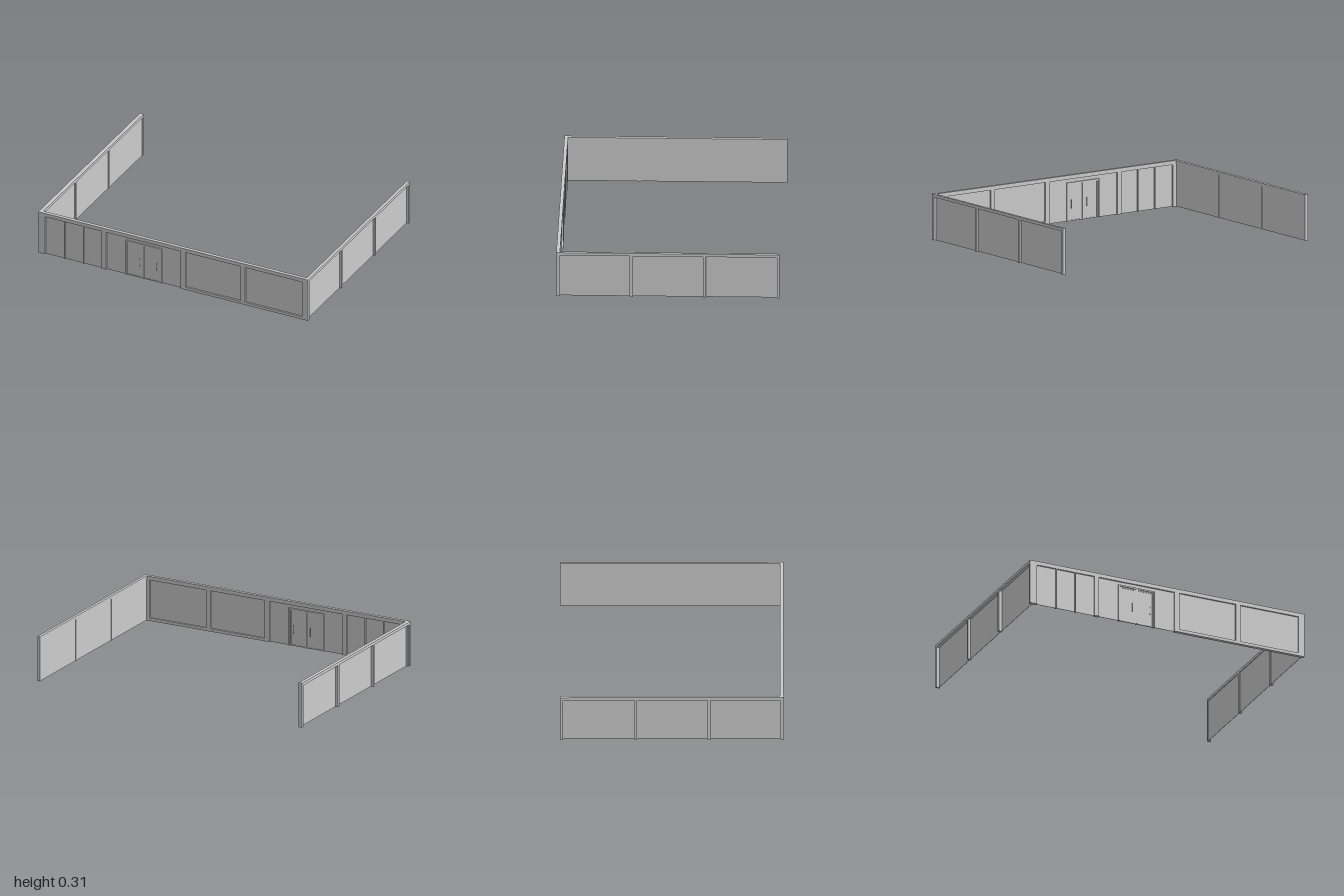
import * as THREE from 'three';

const H = 0.31, FRONT = 0.725, DEPTH = 0.024;
const mat = new THREE.MeshStandardMaterial({ color: 0xcccccc, flatShading: true });

// Box given by its min and max along each axis
function box(parent, name, x0, x1, y0, y1, z0, z1) {
  const m = new THREE.Mesh(new THREE.BoxGeometry(x1 - x0, y1 - y0, z1 - z0), mat);
  m.position.set((x0 + x1) / 2, (y0 + y1) / 2, (z0 + z1) / 2);
  m.name = name;
  parent.add(m);
  return m;
}

// Flat frame in the XY plane with openings [x0, x1, y0, y1]; openings at y = 0 cut through the bottom edge
function frame(parent, name, x0, x1, top, openings, depth) {
  const s = new THREE.Shape();
  s.moveTo(x0, 0);
  for (const [a, b, y0, y1] of openings) {
    if (y0 > 0) {
      const h = new THREE.Path();
      h.moveTo(a, y0).lineTo(a, y1).lineTo(b, y1).lineTo(b, y0).closePath();
      s.holes.push(h);
    } else {
      s.lineTo(a, 0).lineTo(a, y1).lineTo(b, y1).lineTo(b, 0);
    }
  }
  s.lineTo(x1, 0).lineTo(x1, top).lineTo(x0, top).closePath();
  const m = new THREE.Mesh(new THREE.ExtrudeGeometry(s, { depth, bevelEnabled: false }), mat);
  m.position.z = -depth / 2;
  m.name = name;
  parent.add(m);
}

// Thin panes filling the openings at depth z
function panes(parent, openings, z) {
  for (const [a, b, y0, y1] of openings) box(parent, 'glassPane', a, b, y0, y1, z - 0.001, z + 0.001);
}

// Shopfront: narrow panes, entrance bay and two wide windows
function frontWall() {
  const g = new THREE.Group();
  g.name = 'frontWall';
  const openings = [
    [-0.95, -0.81, 0, 0.283], [-0.805, -0.67, 0, 0.283], [-0.665, -0.53, 0, 0.283],
    [-0.497, 0.053, 0, 0.283], [0.09, 0.5, 0.02, 0.283], [0.533, 0.957, 0.02, 0.283],
  ];
  frame(g, 'frontFrame', -0.993, 1, H, openings, DEPTH);
  const [L, R] = [-0.354, -0.088];
  panes(g, openings.filter((o, i) => i !== 3), 0);
  panes(g, [[-0.497, L, 0, 0.283], [R, 0.053, 0, 0.283], [L, R, 0.258, 0.283]], 0);
  g.add(entrance(L, R));
  g.position.z = FRONT;
  return g;
}

// Pair of glazed doors in a shared surround
function entrance(L, R) {
  const g = new THREE.Group();
  g.name = 'entrance';
  const leaves = [[-0.343, -0.226], [-0.215, -0.098]];
  frame(g, 'doorSurround', L, R, 0.26, leaves.map(([a, b]) => [a, b, 0, 0.25]), 0.021);
  for (const [a, b] of leaves) {
    const glass = [[a + 0.008, b - 0.008, 0.006, 0.242]];
    frame(g, 'doorLeaf', a, b, 0.25, glass, 0.008);
    panes(g, glass, 0);
    // Pull handles on both faces
    for (const s of [-1, 1]) {
      const bar = new THREE.Mesh(new THREE.CylinderGeometry(0.002, 0.002, 0.06, 8), mat);
      bar.position.set(b - 0.026, 0.115, s * 0.008);
      bar.name = 'doorHandle';
      g.add(bar);
      for (const y of [0.092, 0.138]) {
        box(g, 'handleMount', b - 0.0275, b - 0.0245, y - 0.0015, y + 0.0015, Math.min(0, s * 0.008), Math.max(0, s * 0.008));
      }
    }
  }
  return g;
}

// Side wall of three large panes, glazed close to its inner face
function sideWall(name, side, depth) {
  const g = new THREE.Group();
  g.name = name;
  // Local x runs along world -z
  const openings = [[-0.72, -0.252, 0, 0.29], [-0.232, 0.232, 0, 0.29], [0.25, 0.72, 0, 0.29]];
  frame(g, 'sideFrame', -0.737, 0.737, H, openings, depth);
  panes(g, openings, -side * (depth / 2 - 0.005));
  g.rotation.y = Math.PI / 2;
  g.position.x = side * (1 - depth / 2);
  return g;
}

export function createModel() {
  const model = new THREE.Group();
  model.name = 'shopfrontWalls';
  model.add(frontWall(), sideWall('leftWall', 1, 0.021), sideWall('rightWall', -1, 0.026));
  return model;
}
